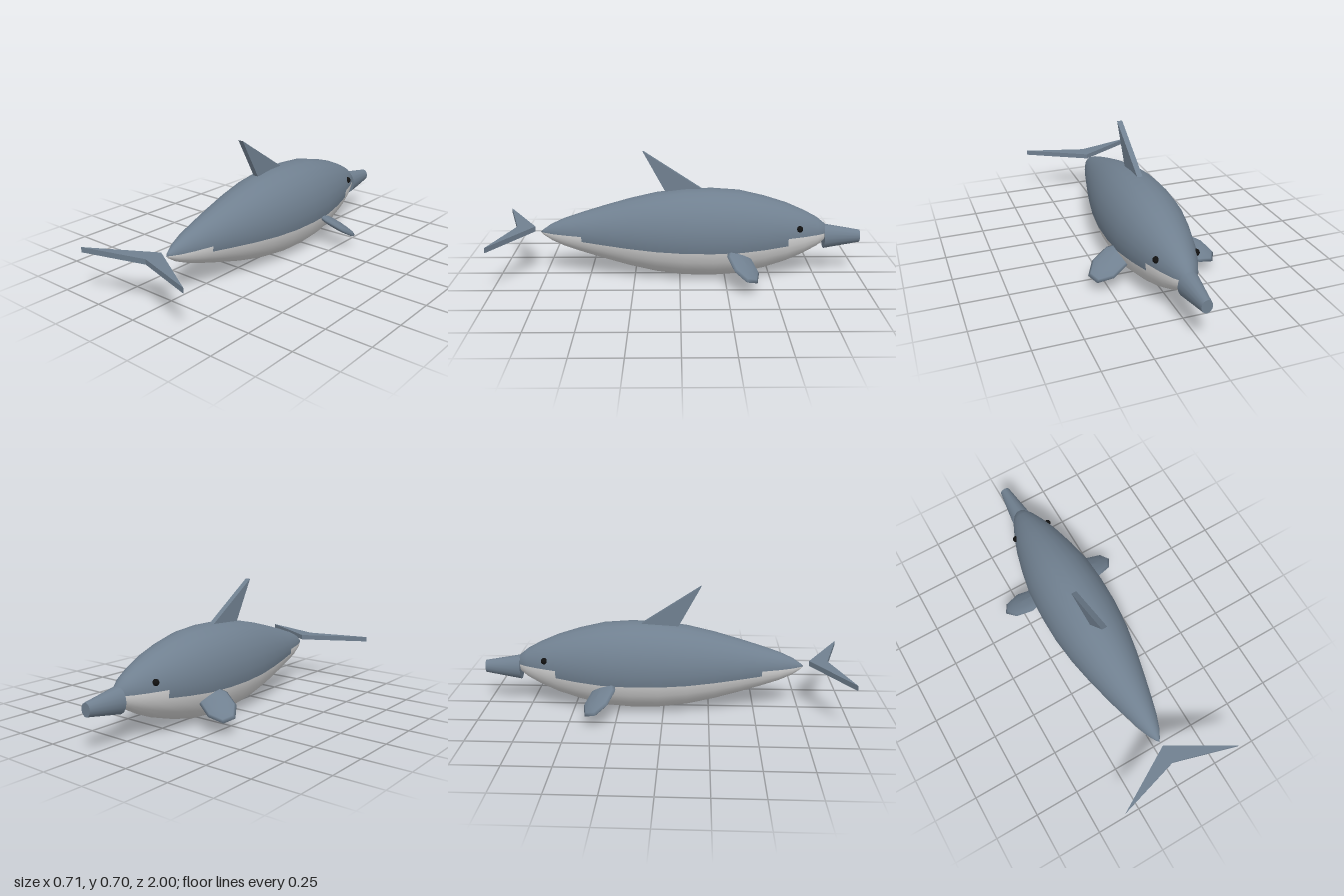
import * as THREE from 'three';

const skin = new THREE.MeshStandardMaterial({ color: 0x708090 });
skin.name = 'slate skin';
const pale = new THREE.MeshStandardMaterial({ color: 0xd3d3d3 });
pale.name = 'pale belly';
const black = new THREE.MeshStandardMaterial({ color: 0x111111 });
black.name = 'eye black';

function add(parent, name, geometry, material) {
  const mesh = new THREE.Mesh(geometry, material);
  mesh.name = name;
  parent.add(mesh);
  return mesh;
}

// Oval rings from tail to head; lower faces go into the belly group
function bodyGeometry() {
  const radii = [0, 0.016, 0.047, 0.08, 0.113, 0.15, 0.189, 0.223, 0.243,
    0.246, 0.235, 0.203, 0.165, 0.122, 0.082, 0.045, 0];
  const sides = 24, last = radii.length - 1;
  const positions = [], back = [], belly = [];
  radii.forEach((r, i) => {
    const z = -0.025 + 0.795 * Math.cos((i / last) * Math.PI);
    for (let j = 0; j < sides; j++) {
      const a = (j / sides) * Math.PI * 2;
      positions.push(0.82 * r * Math.cos(a), 0.247 + r * Math.sin(a), z);
    }
  });
  const id = (i, j) => i * sides + (i === 0 || i === last ? 0 : j % sides);
  for (let i = 0; i < last; i++) {
    const drop = i >= 4 && i < 12 ? 1 : 0; // the belly line sits lower amidships
    for (let j = 0; j < sides; j++) {
      const list = j >= 12 + drop && j < 24 - drop ? belly : back;
      const a = id(i, j), b = id(i, j + 1), c = id(i + 1, j), d = id(i + 1, j + 1);
      if (i < last - 1) list.push(b, c, d);
      if (i > 0) list.push(a, c, b);
    }
  }
  // Close the head pole
  const geo = new THREE.BufferGeometry();
  geo.setAttribute('position', new THREE.Float32BufferAttribute(positions, 3));
  geo.setIndex([...back, ...belly]);
  geo.addGroup(0, back.length, 0);
  geo.addGroup(back.length, belly.length, 1);
  geo.computeVertexNormals();
  return geo;
}

function plate(points, depth) {
  const shape = new THREE.Shape(points.map(([x, y]) => new THREE.Vector2(x, y)));
  return new THREE.ExtrudeGeometry(shape, { depth, bevelEnabled: false });
}

export function createModel() {
  const model = new THREE.Group();
  model.name = 'dolphin';

  add(model, 'body', bodyGeometry(), [skin, pale]);

  // Tapered snout, pointing to -z
  const snout = add(model, 'snout',
    new THREE.CylinderGeometry(0.035, 0.07, 0.2, 16).rotateX(-Math.PI / 2), skin);
  snout.scale.x = 0.82;
  snout.position.set(0, 0.22, -0.9);

  // Swept dorsal fin, drawn in z and y
  add(model, 'dorsalFin',
    plate([[-0.12, 0.49], [0.08, 0.478], [0.2, 0.7]], 0.03).rotateY(-Math.PI / 2), skin);

  // Flat tail flukes, drawn in x and z
  const tail = add(model, 'tailFlukes',
    plate([[0, 0.8], [0.35, 1], [0, 0.9], [-0.35, 1]], 0.028).rotateX(Math.PI / 2), skin);
  tail.position.y = 0.278;

  for (const s of [1, -1]) {
    const side = s > 0 ? 'left' : 'right';

    // Flattened paddle, aimed out, down and forward
    const along = new THREE.Vector3(0.84 * s, -0.44, -0.32).normalize();
    const up = new THREE.Vector3(0.283 * s, 0.857, -0.43);
    const across = new THREE.Vector3().crossVectors(along, up).normalize();
    up.crossVectors(across, along);
    const paddle = new THREE.SphereGeometry(1, 8, 6).rotateY(Math.PI / 8)
      .scale(0.14, 0.022, 0.087)
      .applyMatrix4(new THREE.Matrix4().makeBasis(along, up, across));
    paddle.computeVertexNormals();
    add(model, side + 'Flipper', paddle, skin).position.set(0.23 * s, 0.134, -0.335);

    add(model, side + 'Eye', new THREE.SphereGeometry(0.018, 12, 8), black)
      .position.set(0.105 * s, 0.293, -0.65);
  }
  return model;
}
